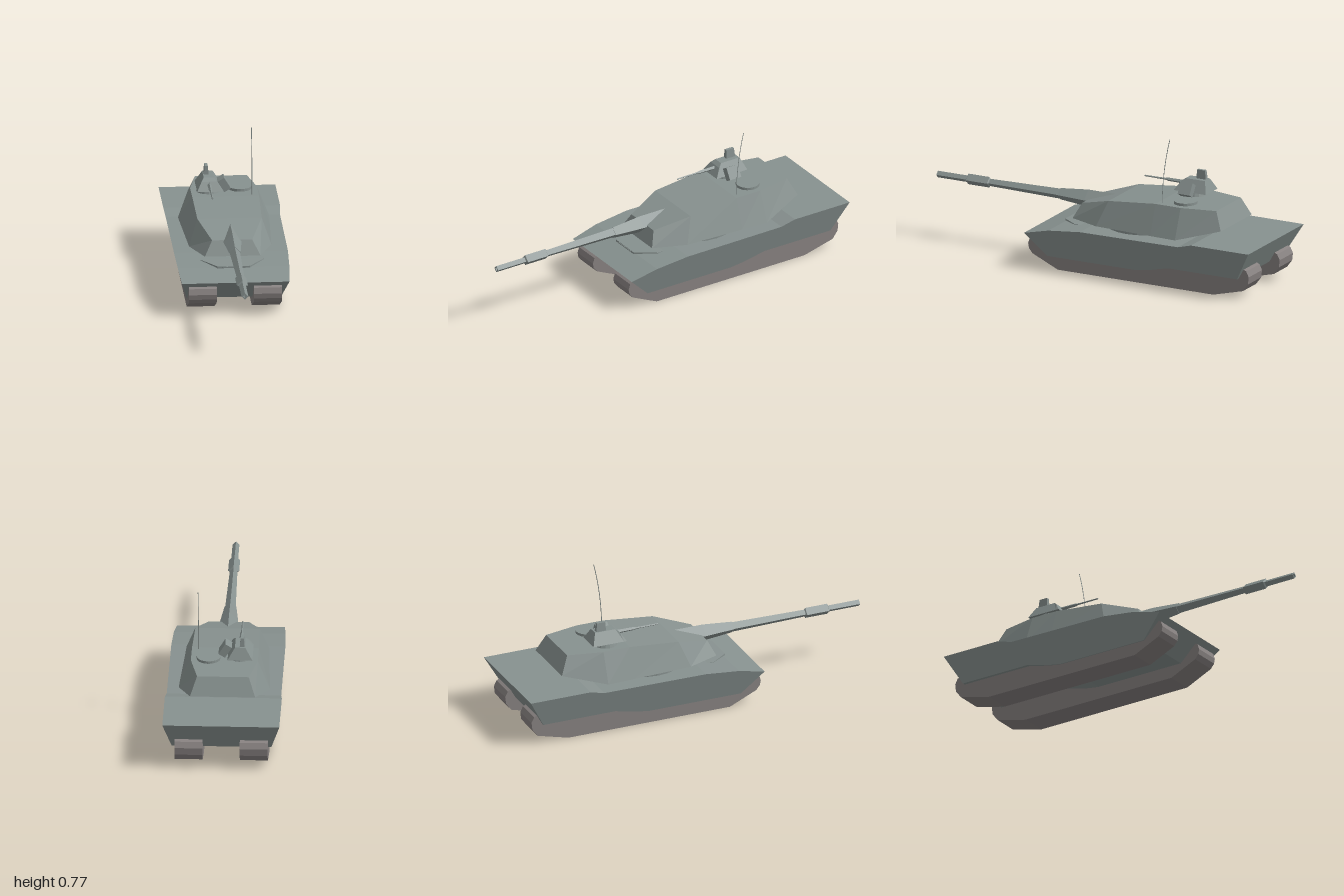
import * as THREE from 'three';

const paint = new THREE.MeshStandardMaterial({ color: 0x87918f, flatShading: true });
const rubber = new THREE.MeshStandardMaterial({ color: 0x878180, flatShading: true });

function add(parent, name, geometry, material = paint, x = 0, y = 0, z = 0) {
  const mesh = new THREE.Mesh(geometry, material);
  mesh.name = name;
  mesh.position.set(x, y, z);
  parent.add(mesh);
  return mesh;
}

// Solid from a [z, y] side profile, centred across x
function sideSolid(profile, width) {
  const shape = new THREE.Shape(profile.map(([z, y]) => new THREE.Vector2(-z, y)));
  const g = new THREE.ExtrudeGeometry(shape, { depth: width, bevelEnabled: false });
  g.translate(0, 0, -width / 2);
  g.rotateY(Math.PI / 2);
  return g;
}

// Loft of mirrored four-corner sections, front to back.
// Each section: [bottom half-width, y, z, top half-width, y, z]
function loft(sections) {
  const rings = sections.map(([xb, yb, zb, xt, yt, zt]) =>
    [[xb, yb, zb], [xt, yt, zt], [-xt, yt, zt], [-xb, yb, zb]]);
  const out = [];
  const quad = (a, b, c, d) => out.push(...a, ...b, ...c, ...a, ...c, ...d);
  for (let i = 0; i < rings.length - 1; i++) {
    for (let j = 0; j < 4; j++) {
      const k = (j + 1) % 4;
      quad(rings[i][j], rings[i + 1][j], rings[i + 1][k], rings[i][k]);
    }
  }
  quad(...rings[0]);
  quad(...rings[rings.length - 1].slice().reverse());
  const g = new THREE.BufferGeometry();
  g.setAttribute('position', new THREE.Float32BufferAttribute(out, 3));
  g.computeVertexNormals();
  return g;
}

// Diamond-section bar along z from [radius, z] points, listed back to front
function diamondBar(points) {
  const g = new THREE.LatheGeometry(points.map(([r, z]) => new THREE.Vector2(r, z)), 4);
  g.rotateX(Math.PI / 2);
  return g;
}

function createHull() {
  const hull = new THREE.Group();
  hull.name = 'hull';
  // Body: side walls lean inwards towards the bottom
  const body = sideSolid([
    [0.34, 0.185], [0.19, 0.222], [0, 0.243], [-0.58, 0.247], [-0.66, 0.27], [-1, 0.27],
    [-0.91, 0.11], [-0.5, 0.11], [-0.38, 0.08], [-0.3, 0.068], [0.22, 0.068],
  ], 2);
  const p = body.attributes.position;
  for (let i = 0; i < p.count; i++) {
    p.setX(i, p.getX(i) * (0.248 + (p.getY(i) - 0.068) * 0.282));
  }
  body.computeVertexNormals();
  add(hull, 'hullBody', body);

  // Driver's hatch block, swept back into wings
  add(hull, 'driverHatch', loft([
    [0.085, 0.212, 0.2, 0.085, 0.23, 0.2],
    [0.165, 0.228, 0.1, 0.165, 0.235, 0.1],
    [0.165, 0.228, 0, 0.165, 0.237, 0],
  ]));
  for (const s of [-1, 1]) {
    add(hull, 'visionSlit', new THREE.BoxGeometry(0.055, 0.005, 0.004), paint, s * 0.03, 0.225, 0.201);
  }

  // Tracks
  const track = sideSolid([
    [0.16, 0], [0.31, 0.068], [0.33, 0.093], [0.335, 0.12], [0.325, 0.15], [0.3, 0.165],
    [-0.925, 0.17], [-0.955, 0.155], [-0.97, 0.125], [-0.965, 0.085], [-0.935, 0.045], [-0.76, 0],
  ], 0.146);
  for (const s of [-1, 1]) add(hull, s > 0 ? 'leftTrack' : 'rightTrack', track, rubber, s * 0.17);
  return hull;
}

function createWeaponStation() {
  const station = new THREE.Group();
  station.name = 'weaponStation';
  station.position.x = -0.083;
  add(station, 'stationRing', new THREE.CylinderGeometry(0.055, 0.064, 0.03, 16), paint, 0, 0.432, -0.48);
  add(station, 'stationBody', loft([
    [0.065, 0.444, -0.385, 0.04, 0.49, -0.415],
    [0.065, 0.444, -0.4, 0.027, 0.506, -0.435],
    [0.065, 0.444, -0.575, 0.027, 0.506, -0.55],
  ]));
  add(station, 'sight', loft([
    [0.013, 0.5, -0.485, 0.008, 0.553, -0.488],
    [0.013, 0.5, -0.54, 0.008, 0.553, -0.535],
  ]), paint, -0.01);
  const box = add(station, 'ammunitionBox', new THREE.BoxGeometry(0.04, 0.068, 0.07), paint, 0.08, 0.463, -0.47);
  box.rotation.z = 0.55;
  add(station, 'machineGun', diamondBar([
    [0, -0.45], [0.011, -0.45], [0.009, -0.32], [0.005, -0.3], [0.004, -0.18], [0, -0.18],
  ]), paint, 0, 0.475, 0);
  return station;
}

function createTurret() {
  const turret = new THREE.Group();
  turret.name = 'turret';
  add(turret, 'turretRing', new THREE.CylinderGeometry(0.215, 0.215, 0.03, 24), paint, 0, 0.25, -0.235);
  add(turret, 'turretShell', loft([
    [0.145, 0.26, 0.125, 0.105, 0.337, 0.09],
    [0.215, 0.26, -0.05, 0.168, 0.393, -0.1],
    [0.231, 0.26, -0.38, 0.174, 0.42, -0.38],
    [0.238, 0.26, -0.53, 0.175, 0.42, -0.53],
    [0.17, 0.325, -0.765, 0.135, 0.42, -0.72],
  ]));

  // Main gun with mantlet, sleeve and hollow muzzle
  add(turret, 'mantlet', diamondBar([
    [0, -0.1], [0.047, -0.1], [0.047, 0.11], [0.031, 0.275], [0, 0.275],
  ]), paint, 0, 0.331);
  add(turret, 'gunBarrel', diamondBar([
    [0.028, 0.25], [0.02, 0.69], [0.029, 0.695], [0.029, 0.82], [0.018, 0.825],
    [0.018, 1], [0.01, 1], [0.01, 0.93], [0, 0.93],
  ]), paint, 0, 0.331);

  // Roof fittings
  turret.add(createWeaponStation());
  add(turret, 'roofHatch', new THREE.CylinderGeometry(0.062, 0.062, 0.018, 20), paint, 0.083, 0.425, -0.51);
  const whip = new THREE.QuadraticBezierCurve3(
    new THREE.Vector3(0.14, 0.415, -0.402),
    new THREE.Vector3(0.14, 0.6, -0.405),
    new THREE.Vector3(0.14, 0.772, -0.448));
  add(turret, 'antenna', new THREE.TubeGeometry(whip, 8, 0.002, 4));
  return turret;
}

export function createModel() {
  const tank = new THREE.Group();
  tank.name = 'tank';
  tank.add(createHull(), createTurret());
  return tank;
}
